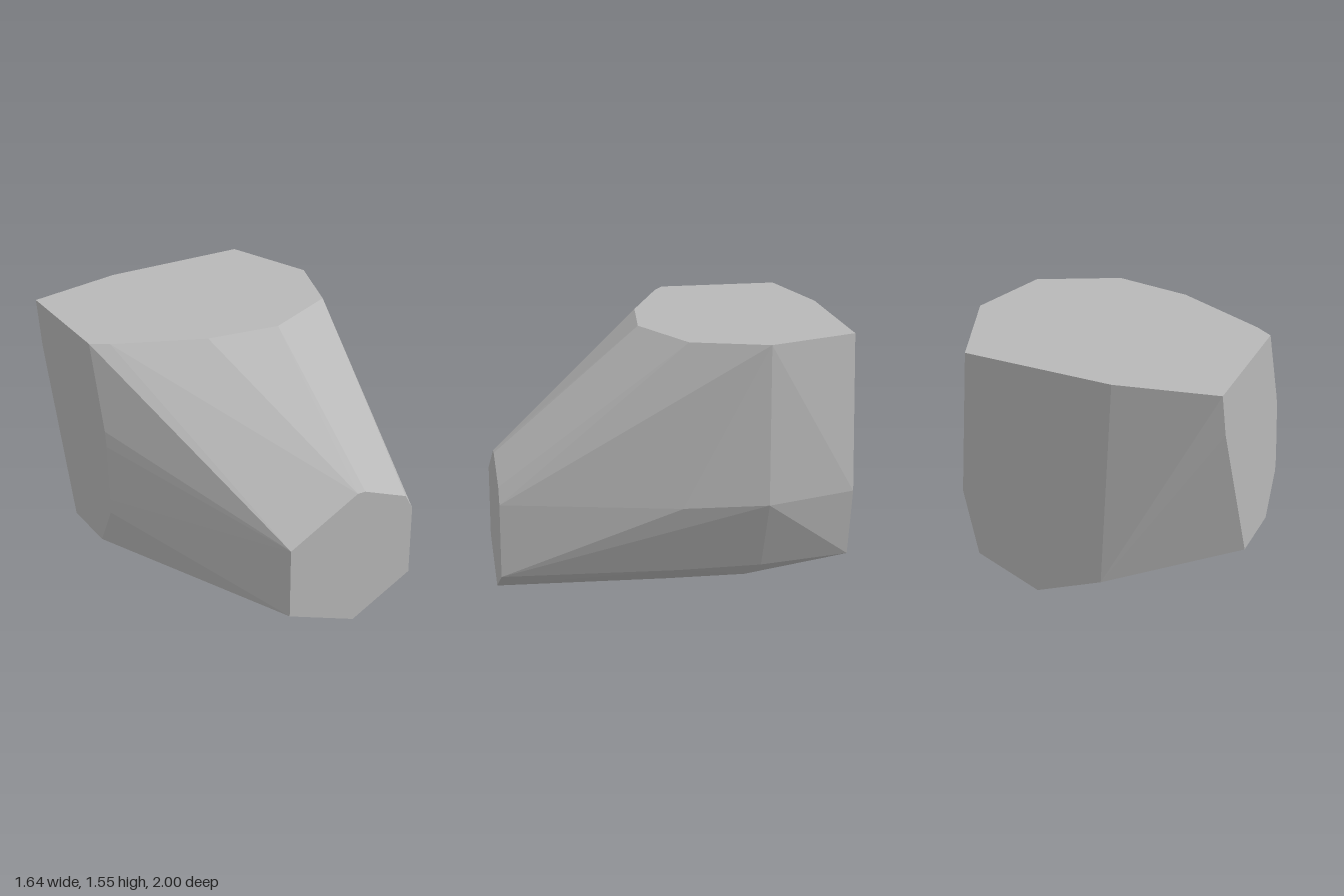
import * as THREE from 'three';
import { ConvexGeometry } from 'three/addons/geometries/ConvexGeometry.js';

// Faceted, tapering block: the convex solid spanned by a few flat outlines.
export function createModel() {
  const stone = new THREE.MeshStandardMaterial({ color: 0xb8b8b8 });
  stone.name = 'stone grey';

  // flat top, as x, z
  const top = [
    [-0.82, -0.88], [-0.25, -1], [0.61, -1], [0.8, -0.48], [0.66, -0.05],
    [0.22, 0.16], [-0.21, 0.11], [-0.72, -0.1], [-0.82, -0.16],
  ].map(([x, z]) => [x, 1.55, z]);

  // small front end, as x, y
  const front = [
    [-0.2, 0.195], [-0.2, 0.62], [0.23, 0.86], [0.28, 0.86],
    [0.56, 0.75], [0.61, 0.66], [0.61, 0.235], [0.23, 0.03],
  ].map(([x, y]) => [x, y, 1]);

  // back end, as x, y
  const back = [
    [0.68, 0.65], [0.6, 0.24], [0.23, 0.085], [-0.17, 0.26],
  ].map(([x, y]) => [x, y, -1]);

  // flat left-hand wall of the front view, as y, z
  const wall = [
    [1.28, -0.82], [0.31, -0.45], [0.31, -0.1],
    [0.56, 0.035], [0.65, 0.04], [0.98, 0.015], [1.07, 0],
  ].map(([y, z]) => [-0.82, y, z]);

  // bulging flank and keel
  const flank = [
    [0.82, 0.64, -0.48], [0.79, 0.64, 0],
    [0.64, 0.22, -0.48], [0.63, 0.215, 0],
    [0.23, 0, -0.48], [0.23, 0.005, 0],
  ];

  const points = [...top, ...front, ...back, ...wall, ...flank]
    .map((p) => new THREE.Vector3(...p));

  const block = new THREE.Mesh(new ConvexGeometry(points), stone);
  block.name = 'facetedBlock';

  const model = new THREE.Group();
  model.name = 'facetedStone';
  model.add(block);
  return model;
}
